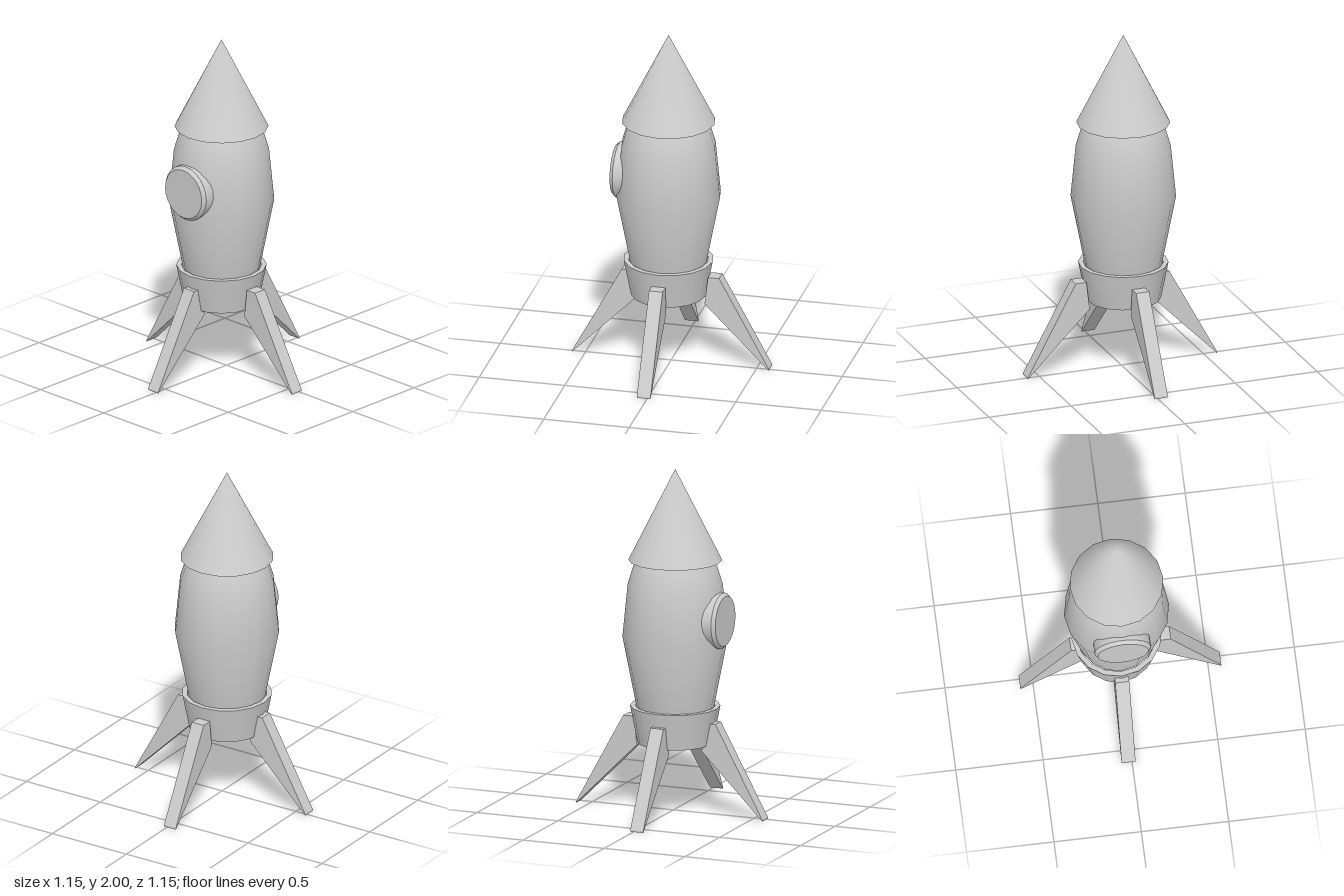
import * as THREE from 'three';
import { mergeVertices, toCreasedNormals } from 'three/addons/utils/BufferGeometryUtils.js';

const CENTRE = -0.02; // the hull axis sits slightly off the origin in x and z
const SIDES = 16;

export function createModel() {
  const model = new THREE.Group();
  model.name = 'rocket';
  const material = new THREE.MeshStandardMaterial({ color: 0xcccccc });

  const add = (name, geometry, parent = model) => {
    const mesh = new THREE.Mesh(geometry, material);
    mesh.name = name;
    parent.add(mesh);
    return mesh;
  };
  // Turned part from [radius, height] pairs, smooth round the axis, sharp at rims
  const turned = (profile, sides = SIDES) =>
    toCreasedNormals(
      new THREE.LatheGeometry(profile.map(([r, y]) => new THREE.Vector2(r, y)), sides), 0.5);

  const hull = new THREE.Group();
  hull.name = 'hull';
  hull.position.set(CENTRE, 0, CENTRE);
  model.add(hull);

  // Barrel-shaped body, its closed top hidden in the nose
  add('body', turned([
    [0, 0.6], [0.218, 0.6], [0.3, 1.02], [0.27, 1.33], [0.243, 1.42], [0.22, 1.475], [0, 1.475],
  ]), hull);

  // Nose cone with one shared tip vertex so the shading rounds off at the top
  let cone = new THREE.LatheGeometry([new THREE.Vector2(0.267, 1.47), new THREE.Vector2(0, 2)], SIDES);
  cone.deleteAttribute('normal');
  cone.deleteAttribute('uv');
  cone = mergeVertices(cone);
  cone.computeVertexNormals();
  add('noseCone', cone, hull);
  add('noseUnderside', turned([[0, 1.47], [0.267, 1.47]]), hull);

  // Hollow flared engine skirt
  add('engineSkirt', turned([
    [0.19, 0.405], [0.215, 0.405], [0.257, 0.62], [0.228, 0.62], [0.19, 0.405],
  ]), hull);

  // Round porthole on the -x side with a bevelled rim
  const porthole = add('porthole', turned([[0, 0.2], [0.162, 0.2], [0.162, 0.29], [0.145, 0.31], [0, 0.31]], 24), hull);
  porthole.rotation.z = Math.PI / 2;
  porthole.position.y = 1.14;

  // Four splayed landing fins
  const outline = new THREE.Shape([
    [0.2, 0.375], [0.575, 0], [0.575, 0.01], [0.285, 0.54], [0.22, 0.54],
  ].map(([x, y]) => new THREE.Vector2(x, y)));
  const finGeometry = new THREE.ExtrudeGeometry(outline, { depth: 0.08, bevelEnabled: false });
  finGeometry.translate(0, 0, -0.04);
  ['left', 'back', 'right', 'front'].forEach((side, i) => {
    const fin = add(side + 'Fin', finGeometry);
    fin.rotation.y = i * Math.PI / 2;
    if (i % 2) fin.position.x = CENTRE;
    else fin.position.z = CENTRE;
  });

  return model;
}
